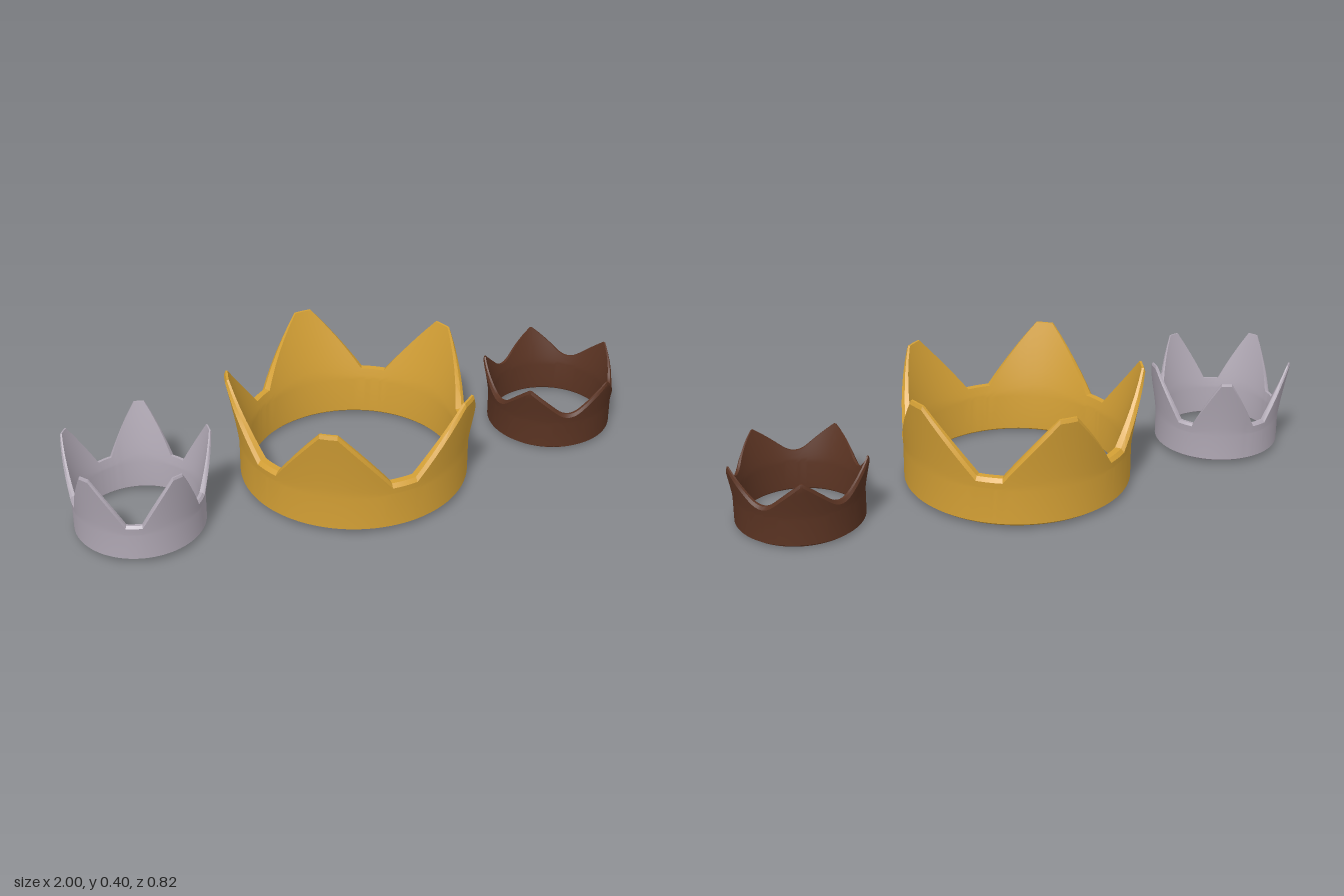
import * as THREE from 'three';
import { toCreasedNormals } from 'three/addons/utils/BufferGeometryUtils.js';

const POINTS = 5;
const DEG = Math.PI / 180;
const HALF = 180 / POINTS; // degrees from the middle of a point to the middle of a valley

// Rim height u degrees away from the middle of a point
function rimHeight(c, u) {
  const end = HALF - c.valleyFlat;
  const drop = c.top - c.valley;
  if (u <= c.tipFlat) return c.top;
  if (!c.rounded) return c.top - drop * Math.min(1, (u - c.tipFlat) / (end - c.tipFlat));
  // straight slope running into a parabolic valley
  const slope = drop / (end - c.tipFlat + c.valleyFlat / 2);
  const w = Math.max(0, u - end);
  return c.top - slope * (u - c.tipFlat - w * w / (2 * c.valleyFlat));
}

// Closed wall cross-section [radius, y] for a given rim height
function section(c, h) {
  const rows = 6, b = c.bevel;
  const flare = (r, R, y) => {
    const t = Math.max(0, (y - c.flareY) / (c.top - c.flareY));
    return r + (R - r) * Math.pow(t, 1.2);
  };
  const outer = (y) => flare(c.outer, c.tipOuter, y);
  const inner = (y) => flare(c.inner, c.tipInner, y);
  const p = [[c.inner + b * 0.4, c.bottom], [c.outer - b * 1.4, c.bottom], [c.outer, c.bottom + b]];
  for (let i = 0; i <= rows; i++) {
    const y = c.flareY + (h - b - c.flareY) * i / rows;
    p.push([outer(y), y]);
  }
  p.push([outer(h) - Math.min(b, (outer(h) - inner(h)) * 0.5), h]);
  for (let i = rows; i >= 0; i--) {
    const y = c.flareY + (h - c.flareY) * i / rows;
    p.push([inner(y), y]);
  }
  p.push([c.inner, c.bottom + b * 0.4]);
  return p;
}

// Sweep the section round the ring, with samples on every corner of the rim
function crown(c) {
  const end = HALF - c.valleyFlat;
  const half = [0];
  for (let i = 0; i <= 6; i++) half.push(c.tipFlat + (end - c.tipFlat) * i / 6);
  for (let i = 1; i <= 4; i++) half.push(end + c.valleyFlat * i / 4);
  const offsets = [...half.slice(1).reverse().map((u) => -u), ...half.slice(0, -1)];

  const pos = [], index = [];
  let n = 0;
  for (let k = 0; k < POINTS; k++) {
    for (const u of offsets) {
      const a = (c.turn + k * 2 * HALF + u) * DEG;
      const p = section(c, rimHeight(c, Math.abs(u)));
      n = p.length;
      for (const [r, y] of p) pos.push(Math.cos(a) * r, y, Math.sin(a) * r);
    }
  }
  const cols = POINTS * offsets.length;
  for (let i = 0; i < cols; i++) {
    for (let j = 0; j < n; j++) {
      const i2 = (i + 1) % cols, j2 = (j + 1) % n;
      const A = i * n + j, B = i * n + j2, C = i2 * n + j2, D = i2 * n + j;
      index.push(A, B, D, B, C, D);
    }
  }
  const geo = new THREE.BufferGeometry();
  geo.setAttribute('position', new THREE.Float32BufferAttribute(pos, 3));
  geo.setIndex(index);
  const mesh = new THREE.Mesh(toCreasedNormals(geo, 0.5), new THREE.MeshStandardMaterial({ color: c.color }));
  mesh.name = c.name;
  mesh.position.set(c.x, 0, c.z);
  return mesh;
}

export function createModel() {
  const group = new THREE.Group();
  group.name = 'crowns';
  // Large gold crown
  group.add(crown({
    name: 'goldCrown', color: 0xd4a035, x: -0.012, z: 0.022, turn: -90,
    outer: 0.388, inner: 0.351, tipOuter: 0.432, tipInner: 0.417,
    bottom: 0.008, flareY: 0.14, valley: 0.183, top: 0.402, bevel: 0.013,
    tipFlat: 4, valleyFlat: 6.5, rounded: false,
  }));
  // Tall silver crown
  group.add(crown({
    name: 'silverCrown', color: 0xb0a8b4, x: -0.782, z: 0.022, turn: 4.5,
    outer: 0.216, inner: 0.197, tipOuter: 0.251, tipInner: 0.242,
    bottom: 0.013, flareY: 0.11, valley: 0.146, top: 0.322, bevel: 0.008,
    tipFlat: 4, valleyFlat: 7, rounded: false,
  }));
  // Low bronze crown with rounded valleys
  group.add(crown({
    name: 'bronzeCrown', color: 0x5a3322, x: 0.758, z: 0.023, turn: -5.5,
    outer: 0.216, inner: 0.197, tipOuter: 0.241, tipInner: 0.231,
    bottom: 0, flareY: 0.1, valley: 0.141, top: 0.238, bevel: 0.011,
    tipFlat: 1, valleyFlat: 12, rounded: true,
  }));
  return group;
}
